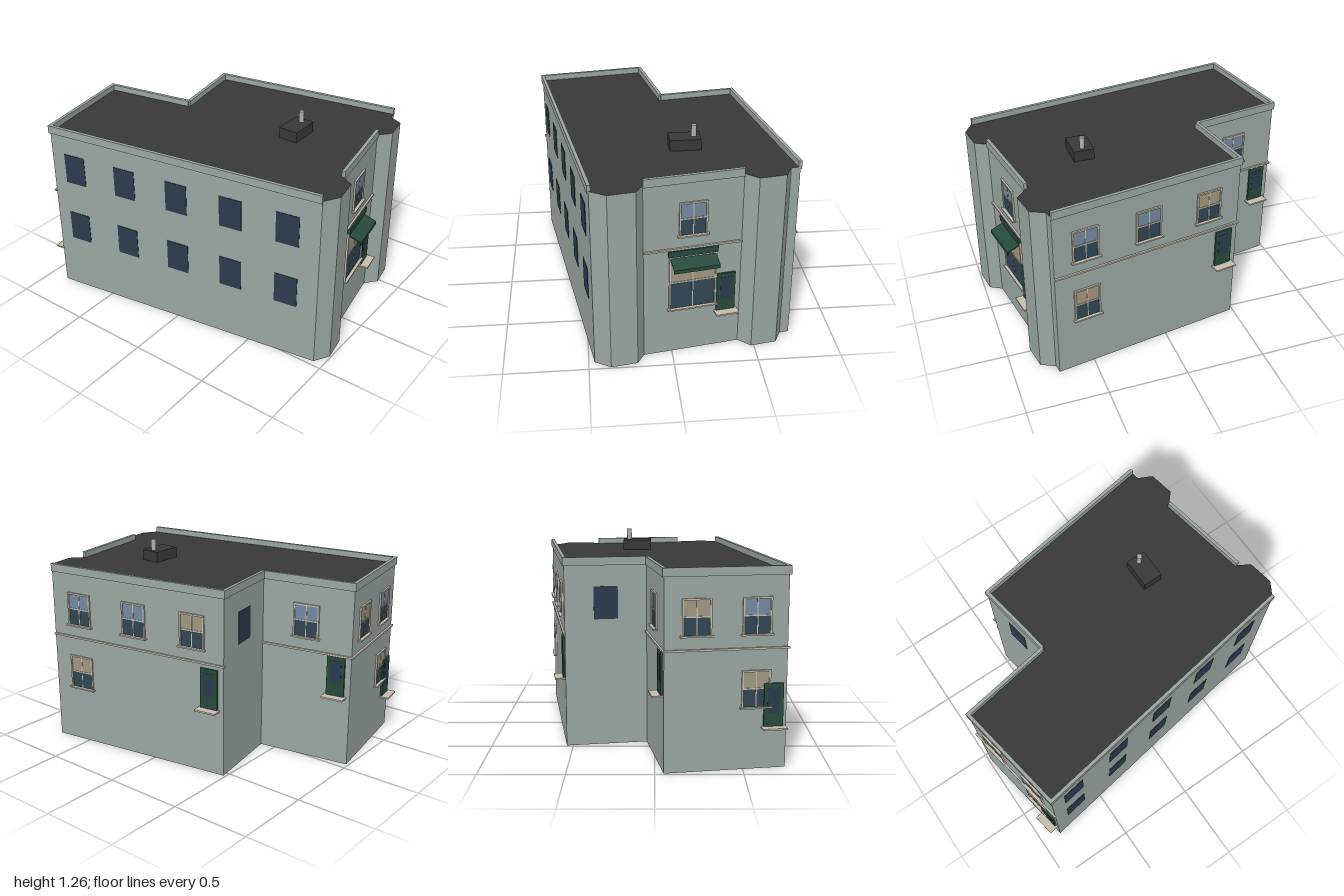
import * as THREE from 'three';

const mat = (name, color, extra = {}) => {
  const m = new THREE.MeshStandardMaterial({ color, ...extra });
  m.name = name;
  return m;
};

export function createModel() {
  const model = new THREE.Group();
  model.name = 'cornerBuilding';

  const wallMat = mat('paintedWall', 0x9aa6a2);
  const roofMat = mat('roofFelt', 0x383838);
  const trimMat = mat('stoneTrim', 0xc4bcac);
  const glassMat = mat('darkGlass', 0x2f4654);
  const skyMat = mat('skyGlass', 0x7389a0);
  const blindMat = mat('blind', 0xa1977f);
  const greenMat = mat('greenPaint', 0x264a3c);
  const paneMat = mat('bluePane', 0x2a3b4e);
  const pipeMat = mat('pipeMetal', 0xb4b3ae);

  const ROOF = 1.125, TOP = 1.162;

  // Corner points as [x, z]
  const P = {
    frontL: [-0.17, 0.89], frontR: [0.408, 0.79],
    sideFront: [0.738, 0.73], sideBack: [0.54, -0.485],
    inner: [0.048, -0.405], backR: [-0.05, -0.985],
    backL: [-0.747, -0.868], leftFront: [-0.465, 0.935],
  };
  const footprint = [
    P.leftFront, [-0.37, 0.992], [-0.212, 0.965], P.frontL,
    P.frontR, [0.482, 0.855], [0.64, 0.827], [0.682, 0.74],
    P.sideFront, P.sideBack, P.inner, P.backR, P.backL,
  ];

  // Main block with the two angled bays
  const shape = new THREE.Shape(footprint.map(([x, z]) => new THREE.Vector2(x, -z)));
  const blockGeo = new THREE.ExtrudeGeometry(shape, { depth: ROOF, bevelEnabled: false });
  blockGeo.rotateX(-Math.PI / 2);
  const block = new THREE.Mesh(blockGeo, [roofMat, wallMat]);
  block.name = 'mainBlock';
  model.add(block);

  // Box from x0..x1, y0..y1, z0..z1 in the parent's space
  const box = (parent, name, material, x0, x1, y0, y1, z0, z1) => {
    const m = new THREE.Mesh(new THREE.BoxGeometry(x1 - x0, y1 - y0, z1 - z0), material);
    m.position.set((x0 + x1) / 2, (y0 + y1) / 2, (z0 + z1) / 2);
    m.name = name;
    parent.add(m);
    return m;
  };

  // Wall group: local x runs left to right seen from outside, local z points outward
  const wall = (name, a, b, e0 = 0, e1 = 0, course = true) => {
    const g = new THREE.Group();
    const dx = b[0] - a[0], dz = b[1] - a[1], len = Math.hypot(dx, dz);
    g.name = name;
    g.position.set(a[0], 0, a[1]);
    g.rotation.y = Math.atan2(-dz, dx);
    model.add(g);
    box(g, 'parapet', wallMat, -e0, len + e1, 1.112, TOP, -0.012, 0.009);
    if (course) box(g, 'stringCourse', trimMat, -e0, len + e1, 0.696, 0.707, -0.004, 0.012);
    return { g, len };
  };

  // Sash window with frame, sill, glazing bars and a coloured upper pane
  const sash = (w, x, y0, y1, width, upper, name = 'sashWindow') => {
    const g = new THREE.Group();
    g.name = name;
    g.position.x = x;
    w.g.add(g);
    const h = width / 2, f = 0.01, mid = (y0 + y1) / 2;
    box(g, 'lowerPane', glassMat, -h + f, h - f, y0, mid, -0.002, 0.003);
    box(g, 'upperPane', upper, -h + f, h - f, mid, y1 - f, -0.002, 0.004);
    for (const s of [-1, 1]) {
      const c = s * (h - f / 2);
      box(g, 'frameSide', trimMat, c - f / 2, c + f / 2, y0, y1, -0.002, 0.01);
    }
    box(g, 'frameHead', trimMat, -h, h, y1 - f, y1, -0.002, 0.011);
    box(g, 'meetingRail', trimMat, -h + f, h - f, mid - 0.004, mid + 0.004, -0.002, 0.007);
    box(g, 'glazingBar', trimMat, -0.003, 0.003, y0, y1 - f, -0.002, 0.006);
    box(g, 'sill', trimMat, -h - 0.009, h + 0.009, y0 - 0.009, y0, -0.002, 0.022);
  };
  const upperSash = (w, x, pane) => sash(w, x, 0.785, 0.992, 0.168, pane);
  const lowerSash = (w, x, pane) => sash(w, x, 0.365, 0.577, 0.168, pane);

  // Green door panel with blue light and a deep step
  const door = (w, x, y) => {
    const g = new THREE.Group();
    g.name = 'door';
    g.position.set(x, y, 0);
    w.g.add(g);
    box(g, 'doorLeaf', greenMat, -0.057, 0.057, 0, 0.252, -0.002, 0.012);
    box(g, 'doorLight', paneMat, -0.036, 0.036, 0.08, 0.225, 0.008, 0.0135);
    box(g, 'doorStep', trimMat, -0.07, 0.07, -0.009, 0.001, -0.002, 0.062);
  };

  // Flat dark window plate
  const plate = (w, x, y0) =>
    box(w.g, 'darkWindow', paneMat, x - 0.073, x + 0.073, y0, y0 + 0.2, -0.002, 0.003);

  // Front
  const front = wall('frontWall', P.frontL, P.frontR);
  const fx = (x) => (x - P.frontL[0]) / 0.985;
  upperSash(front, fx(0.118), skyMat);
  sash(front, fx(0.12), 0.303, 0.656, 0.288, blindMat, 'shopWindow');
  door(front, fx(0.32), 0.247);
  box(front.g, 'shopSign', greenMat, fx(-0.027), fx(0.265), 0.656, 0.694, -0.002, 0.018);

  // Awning: sloped sheet with a hanging front edge, extruded sideways
  const awningShape = new THREE.Shape([
    [0, 0.645], [0.088, 0.611], [0.088, 0.589], [0.082, 0.589], [0.082, 0.606], [0, 0.637],
  ].map(([z, y]) => new THREE.Vector2(-z, y)));
  const awningGeo = new THREE.ExtrudeGeometry(awningShape, { depth: 0.275, bevelEnabled: false });
  awningGeo.rotateY(Math.PI / 2);
  const awning = new THREE.Mesh(awningGeo, greenMat);
  awning.name = 'awning';
  awning.position.x = fx(-0.015);
  front.g.add(awning);

  // Right side
  const right = wall('rightWall', P.sideFront, P.sideBack, 0, 0.009);
  const rx = (z) => (P.sideFront[1] - z) / 0.987;
  upperSash(right, rx(0.532), skyMat);
  upperSash(right, rx(0.13), skyMat);
  upperSash(right, rx(-0.275), blindMat);
  lowerSash(right, rx(0.532), blindMat);
  door(right, rx(-0.39), 0.42);

  // Recessed corner
  const recess = wall('recessBackWall', P.sideBack, P.inner, 0.009, 0, false);
  plate(recess, recess.len * 0.5, 0.785);
  const recessSide = wall('recessSideWall', P.inner, P.backR, 0, 0.009);
  const sx = (z) => (P.inner[1] - z) / 0.986;
  upperSash(recessSide, sx(-0.69), skyMat);
  door(recessSide, sx(-0.892), 0.443);

  // Back
  const back = wall('backWall', P.backR, P.backL, 0.009, 0.009);
  upperSash(back, back.len * 0.26, blindMat);
  upperSash(back, back.len * 0.745, skyMat);
  lowerSash(back, back.len * 0.745, blindMat);
  door(back, back.len * 0.89, 0.247);

  // Left side with two rows of plain windows
  const left = wall('leftWall', P.backL, P.leftFront, 0.009, 0, false);
  for (let i = 0; i < 5; i++)
    for (const y of [0.365, 0.785]) plate(left, left.len * (0.09 + 0.2 * i), y);

  // Rooftop box and flue
  box(model, 'rooftopBox', roofMat, 0.023, 0.21, ROOF - 0.01, 1.192, 0.322, 0.447);
  const flue = new THREE.Mesh(new THREE.CylinderGeometry(0.016, 0.016, 0.075, 8), pipeMat);
  flue.name = 'flue';
  flue.position.set(0.172, 1.226, 0.385);
  model.add(flue);

  return model;
}
